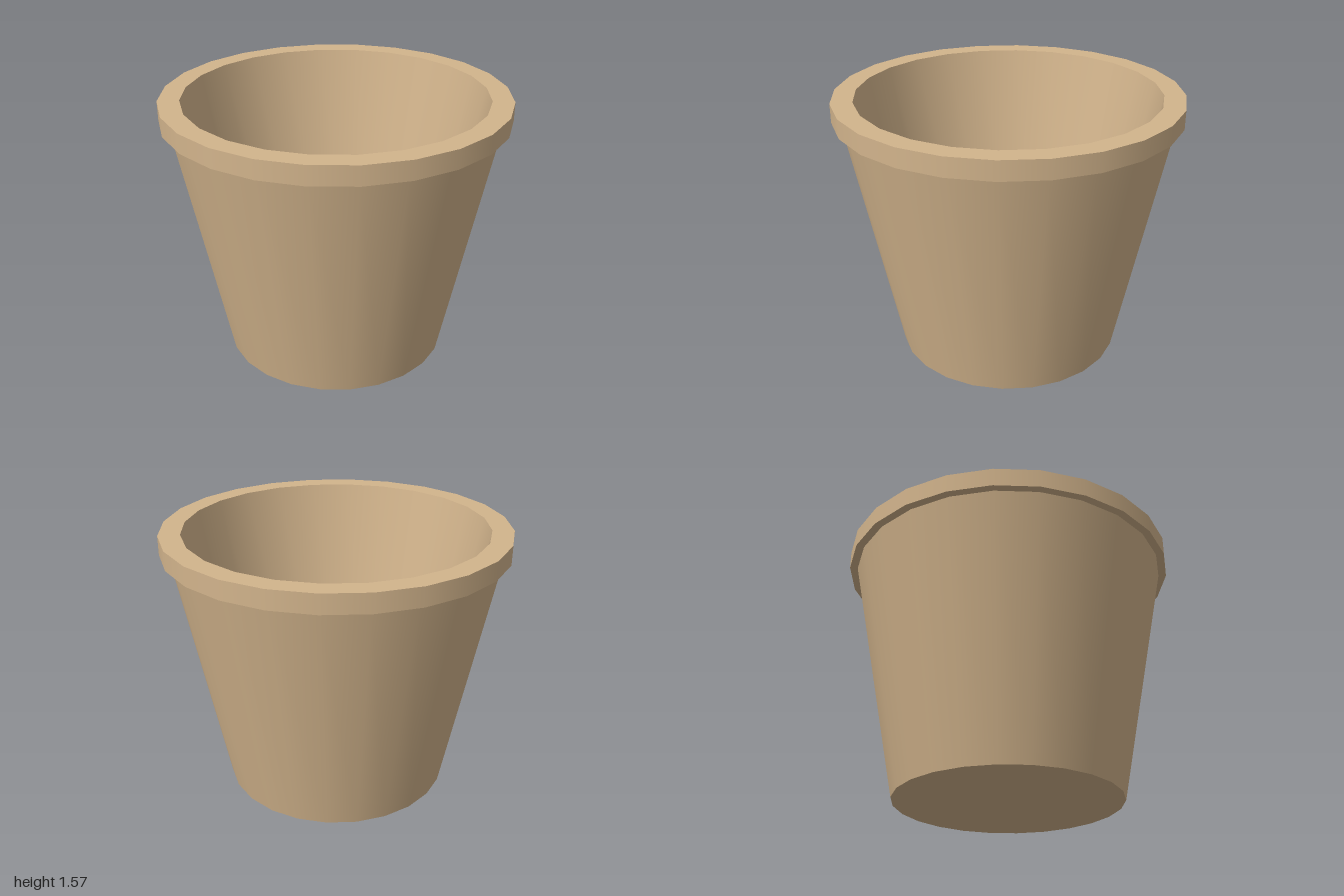
import * as THREE from 'three';

const SIDES = 24;

export function createModel() {
  const pot = new THREE.Group();
  pot.name = 'pot';
  const clay = new THREE.MeshStandardMaterial({ color: 0xd2b48c });
  clay.name = 'tan clay';

  // Each band is a straight [radius, height] run, kept separate so edges stay sharp
  const band = (name, from, to) => {
    const points = [new THREE.Vector2(...from), new THREE.Vector2(...to)];
    const mesh = new THREE.Mesh(new THREE.LatheGeometry(points, SIDES), clay);
    mesh.name = name;
    pot.add(mesh);
  };

  // Profile runs from the underside centre, up the outside, and down the inside
  const profile = [
    ['underside', [0, 0]],
    ['outerWall', [0.667, 0]],
    ['rimUnderside', [0.953, 1.46]],
    ['rimSide', [1, 1.46]],
    ['rimTop', [1, 1.57]],
    ['innerWall', [0.876, 1.57]],
    ['innerFloor', [0.59, 0.11]],
    ['', [0, 0.11]],
  ];
  for (let i = 0; i < profile.length - 1; i++) {
    band(profile[i][0], profile[i][1], profile[i + 1][1]);
  }
  return pot;
}
